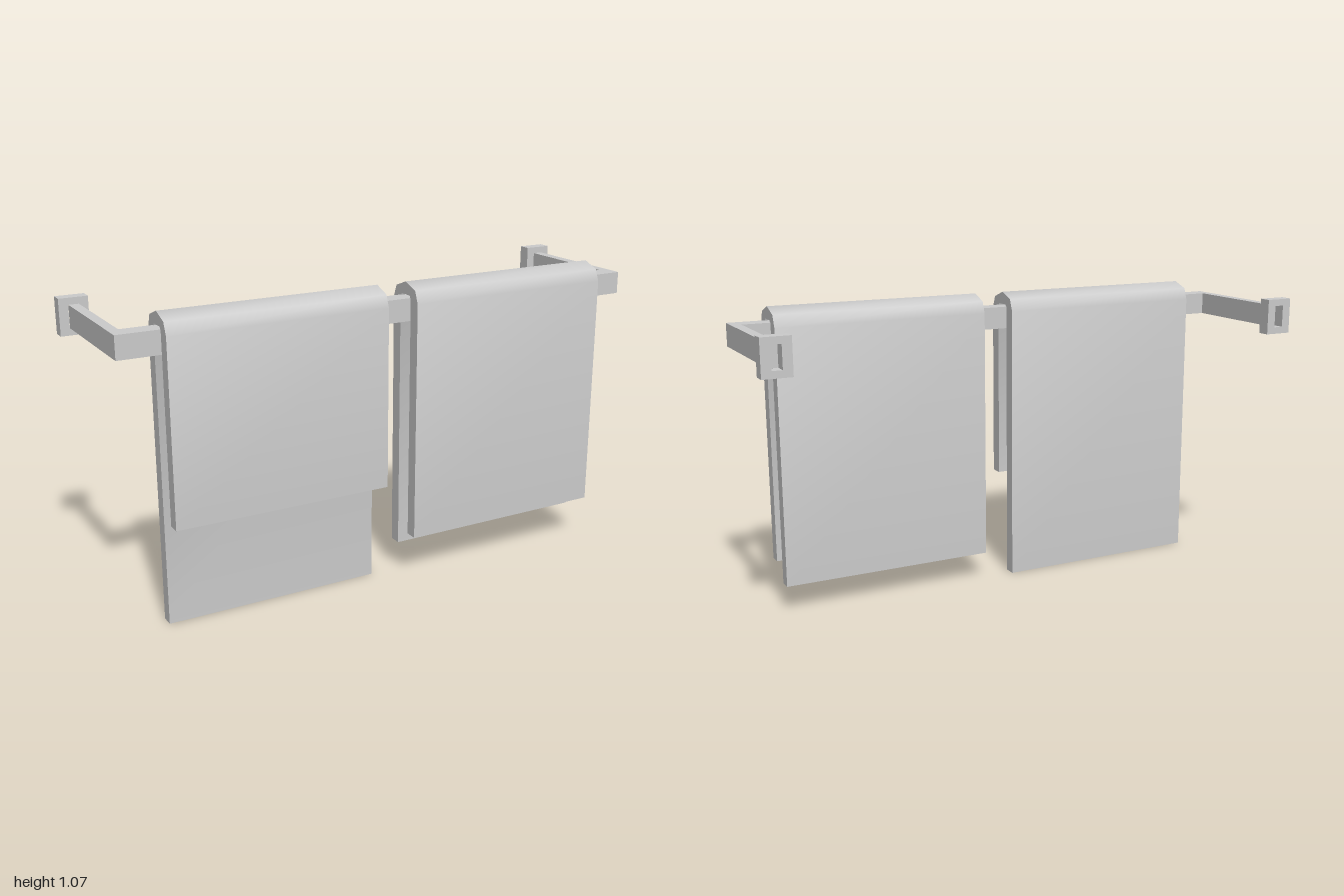
import * as THREE from 'three';
import { toCreasedNormals } from 'three/addons/utils/BufferGeometryUtils.js';

const material = new THREE.MeshStandardMaterial({ color: 0xcccccc });

function shapeFrom(points) {
  return new THREE.Shape(points.map(([x, y]) => new THREE.Vector2(x, y)));
}

function addMesh(group, name, geometry) {
  const mesh = new THREE.Mesh(geometry, material);
  mesh.name = name;
  group.add(mesh);
}

// Towel folded over the rail: side profile in (z, y), extruded along x
function towelGeometry(xMin, xMax, frontBottom, backBottom) {
  const profile = shapeFrom([
    [0.277, frontBottom], [0.277, 1.005], [0.26, 1.047], [0.2, 1.069],
    [0.14, 1.047], [0.124, 1.005], [0.124, backBottom],
    [0.168, backBottom], [0.168, 1.005], [0.175, 1.025],
    [0.226, 1.025], [0.233, 1.005], [0.233, frontBottom],
  ]);
  const geometry = new THREE.ExtrudeGeometry(profile, { depth: xMax - xMin, bevelEnabled: false });
  geometry.rotateY(-Math.PI / 2).translate(xMax, 0, 0);
  return toCreasedNormals(geometry, 0.95);
}

// U-shaped square rail with both wall arms: plan in (x, z), extruded in y
function railGeometry(top, height) {
  const plan = shapeFrom([
    [-0.967, -0.232], [-0.932, -0.232], [-0.932, 0.167], [0.932, 0.167],
    [0.932, -0.232], [0.967, -0.232], [0.967, 0.232], [-0.967, 0.232],
  ]);
  const geometry = new THREE.ExtrudeGeometry(plan, { depth: height, bevelEnabled: false });
  return geometry.rotateX(Math.PI / 2).translate(0, top, 0);
}

// Wall flange with a rectangular opening the size of the arm
function flangeGeometry() {
  const rect = (w, h) => [[-w, -h], [w, -h], [w, h], [-w, h]];
  const plate = shapeFrom(rect(0.05, 0.0635));
  plate.holes.push(shapeFrom(rect(0.0175, 0.0395)));
  return new THREE.ExtrudeGeometry(plate, { depth: 0.045, bevelEnabled: false });
}

export function createModel() {
  const group = new THREE.Group();
  group.name = 'towelRack';

  addMesh(group, 'rail', railGeometry(1.018, 0.079));

  for (const [side, name] of [[1, 'leftFlange'], [-1, 'rightFlange']]) {
    addMesh(group, name, flangeGeometry().translate(side * 0.95, 0.978, -0.277));
  }

  addMesh(group, 'leftTowel', towelGeometry(0.062, 0.835, 0.16, 0.1));
  addMesh(group, 'rightTowel', towelGeometry(-0.822, -0.049, 0.375, 0));

  return group;
}
